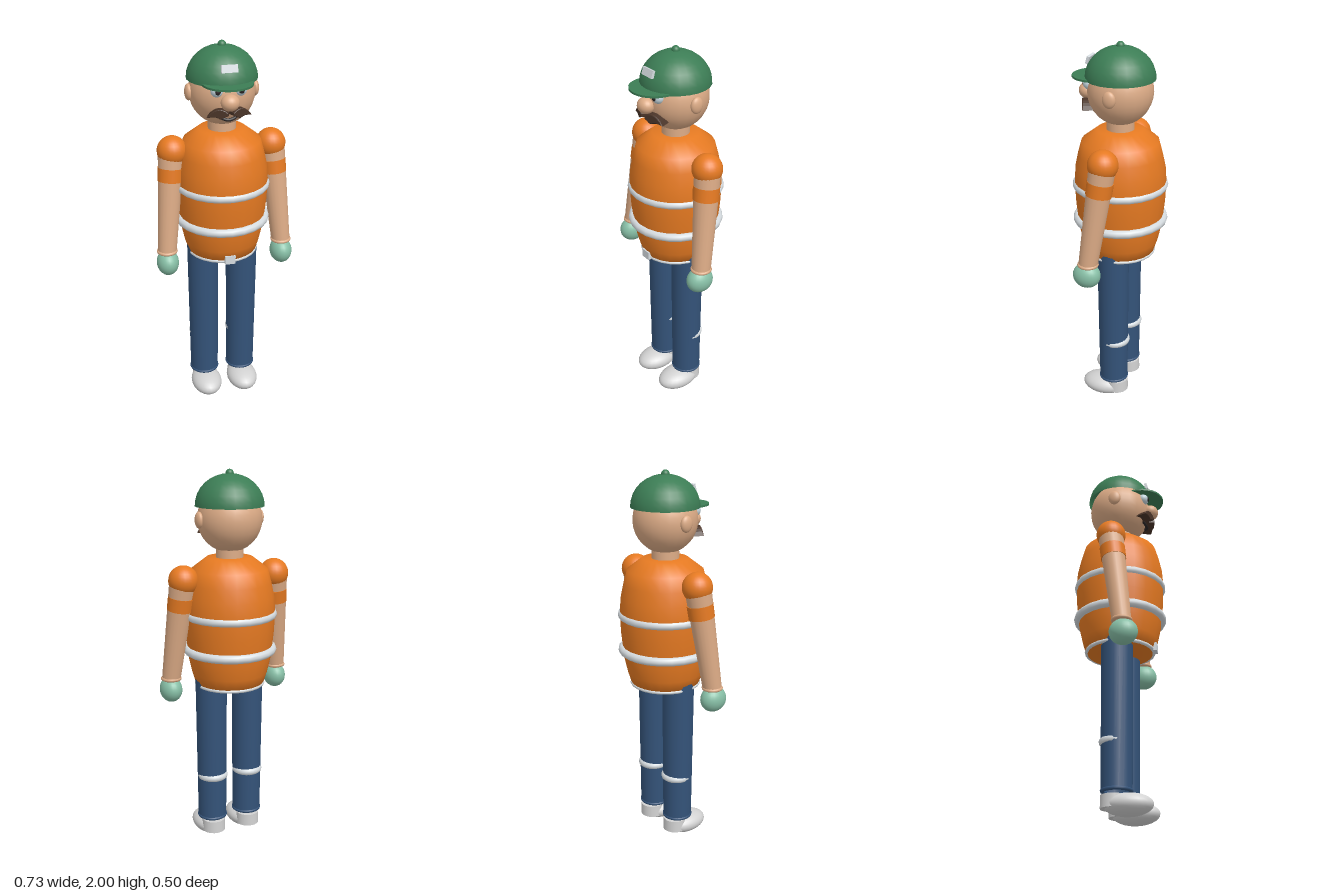
import * as THREE from 'three';

const mat = (name, color) => {
  const m = new THREE.MeshStandardMaterial({ color });
  m.name = name;
  return m;
};

export function createModel() {
  const root = new THREE.Group();
  root.name = 'worker';
  const M = {
    orange: mat('vest orange', 0xe67a22),
    skin: mat('skin', 0xdcab86),
    green: mat('cap green', 0x3c7d55),
    glove: mat('glove green', 0x87bfa6),
    denim: mat('denim blue', 0x345379),
    silver: mat('reflective silver', 0xd6dce0),
    shoe: mat('shoe grey', 0xd2d2d2),
    brown: mat('moustache brown', 0x4a3428),
    dark: mat('dark', 0x2a2626),
    eye: mat('eye white', 0xc4d6de),
  };
  M.green.side = M.denim.side = THREE.DoubleSide;

  const add = (parent, name, geo, material, x = 0, y = 0, z = 0) => {
    const mesh = new THREE.Mesh(geo, material);
    mesh.name = name;
    mesh.position.set(x, y, z);
    parent.add(mesh);
    return mesh;
  };
  // Ellipsoid given its three radii
  const ball = (parent, name, material, x, y, z, rx, ry = rx, rz = rx) => {
    const mesh = add(parent, name, new THREE.SphereGeometry(1, 24, 16), material, x, y, z);
    mesh.scale.set(rx, ry, rz);
    return mesh;
  };
  // Horizontal ring with a chosen half height
  const ring = (parent, name, material, x, y, z, outer, tube, halfHeight) => {
    const geo = new THREE.TorusGeometry(outer - tube, tube, 10, 24);
    geo.rotateX(Math.PI / 2).scale(1, halfHeight / tube, 1);
    return add(parent, name, geo, material, x, y, z);
  };
  // Tapered limb between two points
  const limb = (parent, name, material, a, b, ra, rb, open = false) => {
    const from = new THREE.Vector3(...a), to = new THREE.Vector3(...b);
    const dir = from.clone().sub(to);
    const mesh = add(parent, name, new THREE.CylinderGeometry(ra, rb, dir.length(), 20, 1, open), material);
    mesh.position.copy(from).add(to).multiplyScalar(0.5);
    mesh.quaternion.setFromUnitVectors(new THREE.Vector3(0, 1, 0), dir.normalize());
    return mesh;
  };

  // Barrel-shaped torso with reflective bands and a belt
  const torso = new THREE.Group();
  torso.name = 'torso';
  root.add(torso);
  const profile = [[0, 0.88], [0.178, 0.88], [0.2, 0.95], [0.218, 1.03], [0.233, 1.17], [0.238, 1.28],
    [0.232, 1.36], [0.217, 1.43], [0.198, 1.5], [0.12, 1.56], [0, 1.56]];
  add(torso, 'vest', new THREE.LatheGeometry(profile.map(p => new THREE.Vector2(...p)), 24), M.orange);
  for (const y of [1.075, 1.265]) ring(torso, 'vestBand', M.silver, 0, y, 0, 0.248, 0.022, 0.023);
  ring(torso, 'belt', M.silver, 0, 0.888, 0, 0.187, 0.01, 0.01);
  add(torso, 'buckle', new THREE.BoxGeometry(0.055, 0.046, 0.02), M.silver, 0, 0.902, 0.188);

  // Arms and legs, mirrored
  for (const s of [-1, 1]) {
    const side = s > 0 ? 'left' : 'right';
    const arm = new THREE.Group();
    arm.name = side + 'Arm';
    root.add(arm);
    ball(arm, 'shoulder', M.orange, s * 0.257, 1.457, 0, 0.077);
    limb(arm, 'armSkin', M.skin, [s * 0.262, 1.45, 0], [s * 0.308, 0.925, 0.066], 0.067, 0.049);
    limb(arm, 'sleeveHem', M.orange, [s * 0.267, 1.372, 0.009], [s * 0.273, 1.303, 0.018], 0.067, 0.066);
    ring(arm, 'wrist', M.skin, s * 0.308, 0.928, 0.066, 0.055, 0.012, 0.01);
    ball(arm, 'glove', M.glove, s * 0.308, 0.865, 0.074, 0.058, 0.068, 0.073);

    const leg = new THREE.Group();
    leg.name = side + 'Leg';
    root.add(leg);
    limb(leg, 'trouserLeg', M.denim, [s * 0.106, 0.925, 0.004], [s * 0.104, 0.12, 0.003], 0.084, 0.077, true);
    const cap = add(leg, 'trouserTop', new THREE.CircleGeometry(0.084, 20), M.denim, s * 0.106, 0.925, 0.004);
    cap.rotation.x = -Math.PI / 2;
    ring(leg, 'trouserHem', M.denim, s * 0.104, 0.126, 0.003, 0.081, 0.01, 0.01);
    const band = ring(leg, 'legBand', M.silver, s * 0.104, 0.366, -0.005, 0.082, 0.018, 0.02);
    band.rotation.x = 0.03;
    ball(leg, 'shoeToe', M.shoe, s * 0.104, 0.058, 0.06, 0.084, 0.056, 0.122);
    add(leg, 'shoeHeel', new THREE.CylinderGeometry(0.062, 0.064, 0.065, 20), M.shoe, s * 0.104, 0.073, -0.014);
  }

  // Head and face
  const head = new THREE.Group();
  head.name = 'head';
  root.add(head);
  add(head, 'neck', new THREE.CylinderGeometry(0.07, 0.072, 0.12, 20), M.skin, 0, 1.585, 0);
  ball(head, 'skull', M.skin, 0, 1.755, 0, 0.166, 0.17, 0.166);
  ball(head, 'nose', M.skin, 0, 1.742, 0.175, 0.046, 0.041, 0.043);
  for (const s of [-1, 1]) {
    ball(head, 'ear', M.skin, s * 0.168, 1.755, 0, 0.02, 0.042, 0.034);
    ball(head, 'eye', M.eye, s * 0.058, 1.795, 0.143, 0.031, 0.031, 0.03);
    ball(head, 'pupil', M.dark, s * 0.058, 1.795, 0.168, 0.014, 0.014, 0.008);
    // Drooping moustache half
    const shape = new THREE.Shape();
    shape.moveTo(0, 1.695);
    shape.quadraticCurveTo(0.045, 1.735, 0.097, 1.672);
    shape.quadraticCurveTo(0.06, 1.685, 0.035, 1.668);
    shape.lineTo(0, 1.685);
    const geo = new THREE.ExtrudeGeometry(shape, {
      depth: 0.045, curveSegments: 8, bevelThickness: 0.006, bevelSize: 0.004, bevelSegments: 2,
    });
    const half = add(head, 'moustache', geo, M.brown, 0, 0, 0.148);
    half.rotation.y = s > 0 ? 0.35 : Math.PI - 0.35;
    if (s < 0) {
      half.rotation.y = -0.35;
      geo.scale(-1, 1, 1);
      // restore the corner order after mirroring
      const p = geo.attributes.position, n = geo.attributes.normal;
      for (const a of [p, n]) for (let i = 0; i < a.count; i += 3) {
        const v = new THREE.Vector3().fromBufferAttribute(a, i);
        a.setXYZ(i, a.getX(i + 1), a.getY(i + 1), a.getZ(i + 1));
        a.setXYZ(i + 1, v.x, v.y, v.z);
      }
    }
  }
  const smile = new THREE.QuadraticBezierCurve3(new THREE.Vector3(-0.042, 1.662, 0.138),
    new THREE.Vector3(0, 1.638, 0.168), new THREE.Vector3(0.042, 1.662, 0.138));
  add(head, 'mouth', new THREE.TubeGeometry(smile, 12, 0.008, 8), M.dark);

  // Cap with brim, badge and top button
  const hat = new THREE.Group();
  hat.name = 'cap';
  root.add(hat);
  const dome = add(hat, 'capDome',
    new THREE.SphereGeometry(0.177, 24, 8, 0, Math.PI * 2, 0, Math.PI / 2), M.green, 0, 1.818, 0);
  dome.scale.y = 0.91;
  add(hat, 'capBrim', new THREE.CylinderGeometry(0.125, 0.125, 0.01, 28), M.green, 0, 1.822, 0.123);
  ball(hat, 'capButton', M.green, 0, 1.979, 0, 0.021);
  const badge = add(hat, 'badge', new THREE.BoxGeometry(0.08, 0.038, 0.014), M.silver, 0, 1.902, 0.158);
  badge.rotation.x = -0.3;
  return root;
}
